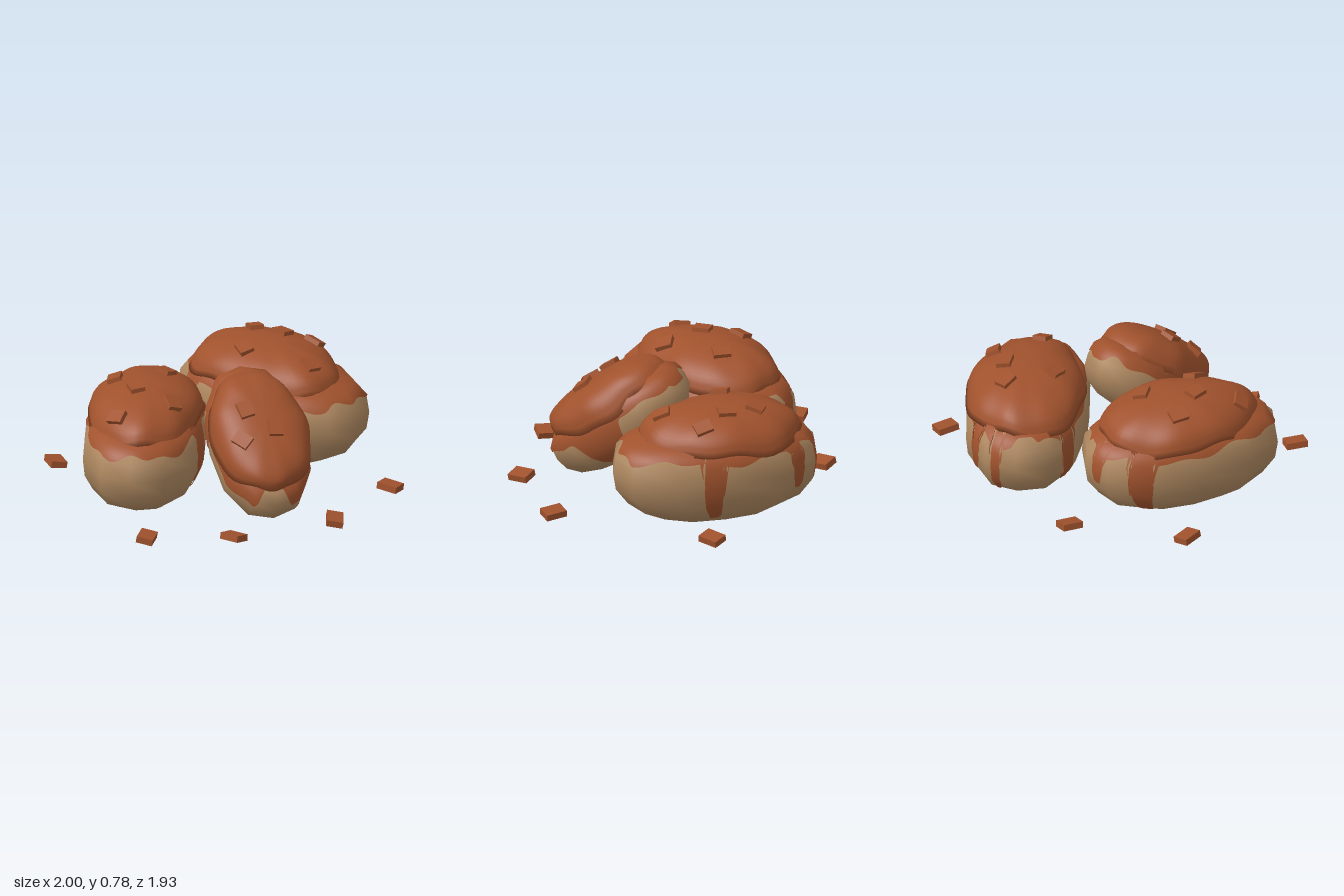
import * as THREE from 'three';
import { mergeVertices } from 'three/addons/utils/BufferGeometryUtils.js';

const doughMat = new THREE.MeshStandardMaterial({ color: 0xae8860 });
doughMat.name = 'dough';
const sauceMat = new THREE.MeshStandardMaterial({ color: 0xa0522d });
sauceMat.name = 'sauce';

// Indexed grid of rows (top to bottom) that closes on itself around y
function ringGrid(rows, cols, point) {
  const pos = [], index = [];
  for (let i = 0; i <= rows; i++)
    for (let j = 0; j < cols; j++) {
      pos.push(...point(i, (j / cols) * Math.PI * 2).toArray());
      if (i === rows) continue;
      const a = i * cols + j, b = i * cols + ((j + 1) % cols);
      index.push(a, a + cols, b + cols, a, b + cols, b);
    }
  const geo = new THREE.BufferGeometry();
  geo.setAttribute('position', new THREE.Float32BufferAttribute(pos, 3));
  geo.setIndex(index);
  geo.computeVertexNormals();
  return geo;
}

// Low-poly, slightly boxy ellipsoid with a flattened crown
function doughGeometry([sx, sy, sz]) {
  let geo = new THREE.SphereGeometry(1, 12, 10);
  geo.deleteAttribute('uv');
  geo.deleteAttribute('normal');
  geo = mergeVertices(geo);
  const p = geo.attributes.position, n = 2.4;
  for (let i = 0; i < p.count; i++) {
    const v = new THREE.Vector3().fromBufferAttribute(p, i);
    const len = (Math.abs(v.x) ** n + Math.abs(v.y) ** n + Math.abs(v.z) ** n) ** (1 / n);
    v.divideScalar(len);
    if (v.y > 0.5) v.y = 0.5 + (v.y - 0.5) * 0.4;
    p.setXYZ(i, v.x * sx, v.y * sy, v.z * sz);
  }
  geo.computeVertexNormals();
  return geo;
}

// Thin sauce film that hugs the dough, with drips and bare gaps along its edge
function filmGeometry(dough, [sx, sy, sz], margin, drips, seed) {
  const target = new THREE.Mesh(dough, doughMat), ray = new THREE.Raycaster();
  const normals = [];
  const rows = 24, top = 0.95;
  const geo = ringGrid(rows, 192, (i, phi) => {
    let low = margin + 0.05 * Math.sin(5 * phi + seed) + 0.04 * Math.sin(11 * phi + seed * 2);
    for (const d of drips) {
      const gap = Math.atan2(Math.sin(phi - d.phi), Math.cos(phi - d.phi)) / d.width;
      low += (d.low - low) * Math.exp(-(gap ** 6));
    }
    const al = top + (low - top) * (i / rows);
    const dir = new THREE.Vector3(Math.sin(phi) * Math.cos(al) * sx, Math.sin(al) * sy, Math.cos(phi) * Math.cos(al) * sz).normalize();
    ray.set(dir.clone().multiplyScalar(3), dir.clone().negate());
    const hit = ray.intersectObject(target)[0];
    const nor = hit.normal ?? hit.face.normal;
    normals.push(nor.x, nor.y, nor.z);
    return hit.point.clone().addScaledVector(dir, 0.008);
  });
  geo.setAttribute('normal', new THREE.Float32BufferAttribute(normals, 3));
  return geo;
}

// Thick sauce dome with a wavy, overhanging lip
function capGeometry({ rim: [rx, rz], base, lift = 0, crown, shift = 0, round = 2.1, taper = 0, seed }) {
  const rows = 14, n = 2.1;
  return ringGrid(rows + 2, 56, (i, phi) => {
    const s = Math.sin(phi), c = Math.cos(phi), front = Math.max(c, 0);
    const edge = 1 / (Math.abs(s) ** n + Math.abs(c) ** n) ** (1 / n);
    const wave = 1 + 0.03 * Math.sin(3 * phi + seed) + 0.015 * Math.sin(7 * phi + seed * 2);
    const rimY = base + lift * front ** 3 + 0.018 * Math.sin(4 * phi + seed) + 0.01 * Math.sin(9 * phi);
    const t = Math.min(i / rows, 1) * Math.PI / 2;
    let r = Math.sin(t) ** (2 / round), y = rimY + (crown - rimY) * Math.max(Math.cos(t), 0) ** (2 / round);
    if (i === rows) { r = 1.03; y -= 0.012; }
    if (i > rows) { r = 1 - 0.1 * (i - rows); y += 0.008 * (i - rows); }
    const k = r * edge * (1 + (wave - 1) * r);
    return new THREE.Vector3(s * rx * k * (1 - taper * front), y, c * rz * k + shift);
  });
}

function crumb(name, w, d) {
  const mesh = new THREE.Mesh(new THREE.BoxGeometry(w, 0.04, d), sauceMat);
  mesh.name = name;
  return mesh;
}

// drips: x, y, z of the film's lowest point there and angular width; crumbs: x, z, turn
const buns = [
  { name: 'rightBun', at: [-0.515, 0.335, -0.055], tilt: 0, turn: -0.45, size: [0.365, 0.335, 0.615], margin: 0.4,
    cap: { rim: [0.335, 0.485], base: 0.18, crown: 0.385, shift: -0.015, seed: 1 },
    drips: [[-0.27, 0.07, 0.17, 0.12], [-0.61, 0.05, -0.5, 0.15], [-0.36, 0.28, -0.62, 0.12], [-0.25, 0.51, -0.58, 0.15]],
    crumbs: [[-0.65, -0.22, -0.4], [-0.34, -0.2, 0.5], [-0.59, 0, 0], [-0.42, 0.18, 0.1], [-0.77, 0.2, 0.7]] },
  { name: 'leftBun', at: [0.4, 0.335, -0.395], tilt: 0, turn: 0.61, size: [0.37, 0.335, 0.635], margin: 0.4,
    cap: { rim: [0.35, 0.485], base: 0.18, crown: 0.385, shift: -0.045, seed: 2.6 },
    drips: [[0.72, 0.06, -0.5, 0.11], [0.36, 0.22, -0.9, 0.1], [0.18, 0.1, -0.92, 0.09], [-0.04, 0.08, -0.55, 0.11],
      [0.02, 0.53, -0.85, 0.2]],
    crumbs: [[0.36, -0.64, 0], [0.49, -0.5, 0.5], [0.66, -0.41, 0.7], [0.21, -0.37, 0.1], [0.54, -0.11, 0.3]] },
  { name: 'frontBun', at: [0.075, 0.395, 0.3], tilt: 0.66, turn: 0, size: [0.29, 0.235, 0.49], margin: 0.15,
    cap: { rim: [0.3, 0.41], base: 0.085, lift: 0.11, crown: 0.285, round: 2.6, taper: 0.12, seed: 4.2 },
    drips: [[0.34, 0.17, 0.19, 0.3], [-0.15, 0.3, 0.1, 0.15], [0.06, 0.27, 0.7, 0.35], [0.12, 0.67, -0.06, 0.25]],
    crumbs: [[-0.03, 0.4, 0.1], [-0.09, 0.54, 0.6], [0.12, 0.52, -0.1]] },
];

function makeBun(spec) {
  const group = new THREE.Group();
  group.name = spec.name;
  group.position.set(...spec.at);
  group.rotation.set(spec.tilt, spec.turn, 0);
  group.updateMatrixWorld(true);
  const size = new THREE.Vector3(...spec.size);

  const drips = spec.drips.map(([x, y, z, width]) => {
    const v = group.worldToLocal(new THREE.Vector3(x, y, z)).divide(size);
    return { phi: Math.atan2(v.x, v.z), low: Math.atan2(v.y, Math.hypot(v.x, v.z)), width };
  });
  const dough = new THREE.Mesh(doughGeometry(spec.size), doughMat);
  dough.name = 'dough';
  const film = new THREE.Mesh(filmGeometry(dough.geometry, spec.size, spec.margin, drips, spec.cap.seed), sauceMat);
  film.name = 'sauceDrips';
  const cap = new THREE.Mesh(capGeometry(spec.cap), sauceMat);
  cap.name = 'sauceCap';
  group.add(dough, film, cap);
  group.updateMatrixWorld(true);

  // Crumbs lie flat on the sauce
  const up = new THREE.Vector3(0, 1, 0), ray = new THREE.Raycaster();
  const toLocal = group.quaternion.clone().invert();
  for (const [x, z, turn] of spec.crumbs) {
    ray.set(new THREE.Vector3(x, 3, z), new THREE.Vector3(0, -1, 0));
    const hit = ray.intersectObject(cap)[0];
    const piece = crumb('toppingCrumb', 0.085, 0.105);
    piece.position.copy(group.worldToLocal(hit.point.clone())).addScaledVector(hit.face.normal, 0.004);
    const normal = hit.face.normal.clone().applyQuaternion(group.quaternion);
    piece.quaternion.copy(toLocal)
      .multiply(new THREE.Quaternion().setFromUnitVectors(up, normal))
      .multiply(new THREE.Quaternion().setFromAxisAngle(up, turn));
    group.add(piece);
  }
  return group;
}

export function createModel() {
  const model = new THREE.Group();
  model.name = 'saucedBuns';
  for (const spec of buns) model.add(makeBun(spec));

  // Loose crumbs scattered around: x, z, turn
  const loose = [[-0.33, -0.84, -0.35], [-0.945, -0.47, 0.03], [0.925, -0.55, -0.35], [0.86, 0.47, 0.75],
    [-0.75, 0.72, -0.55], [-0.25, 0.87, 0.6], [0.4, 0.82, -0.3]];
  loose.forEach(([x, z, turn], i) => {
    const piece = crumb('looseCrumb', 0.1, 0.13);
    piece.position.set(x, 0.075, z);
    piece.rotation.set(0.1 * Math.cos(i * 2), turn, -0.17);
    model.add(piece);
  });
  return model;
}
